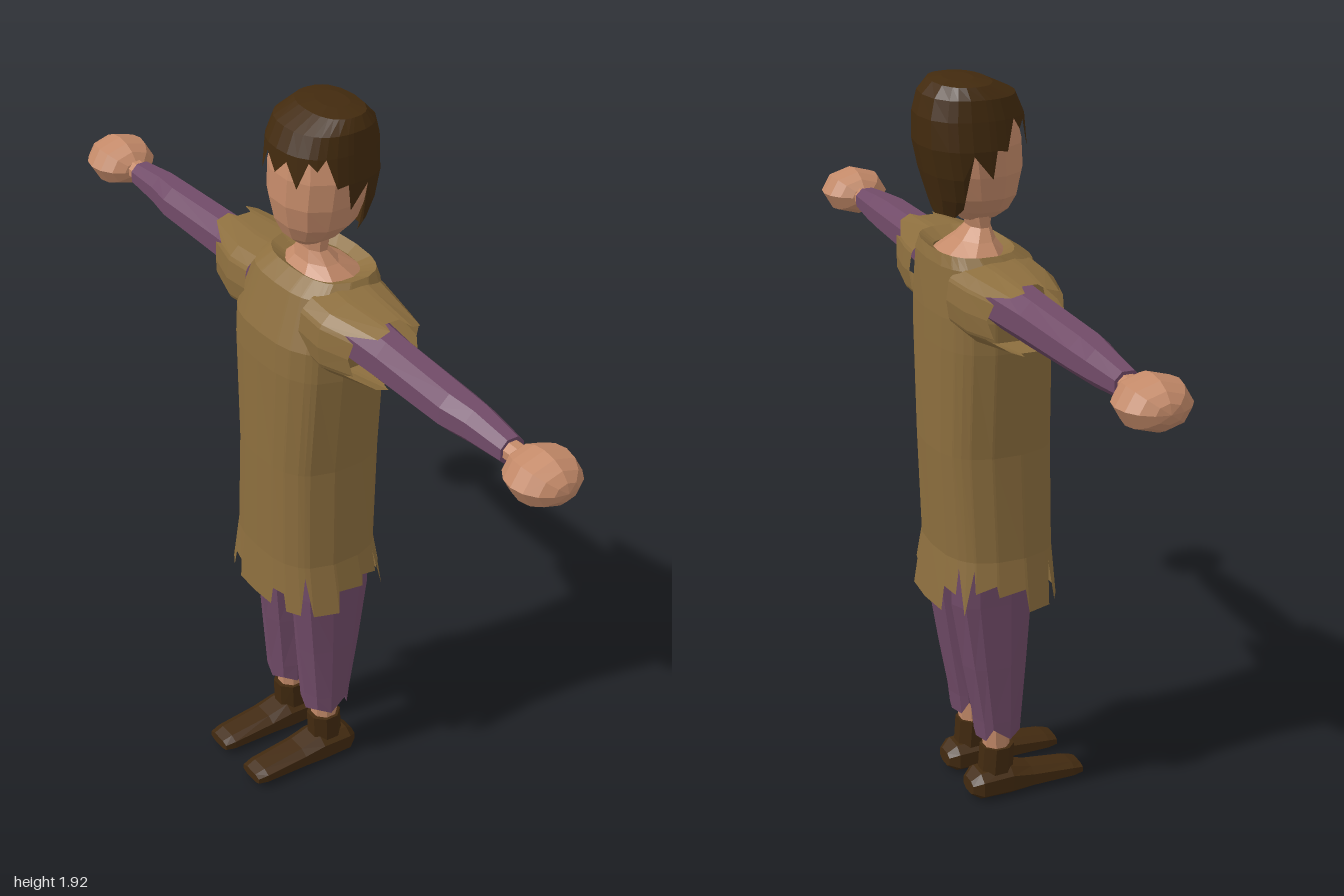
import * as THREE from 'three';

const { lerp } = THREE.MathUtils;
const flat = (name, color, side = THREE.FrontSide) => {
  const m = new THREE.MeshStandardMaterial({ color, flatShading: true, side });
  m.name = name;
  return m;
};

// Evenly spaced columns of a closed ring with a straight lower edge
const even = (n) => Array.from({ length: n }, (_, i) => [(i + 0.5) * 360 / n, -99]);
// Half a ragged edge [degrees, limit], mirrored to a full ring
const ragged = (half) => [
  ...half,
  ...half.filter(([a]) => a > 0 && a < 180).reverse().map(([a, l]) => [360 - a, l]),
];

// Skin of rows [t, a0, a1, b0, b1] with t descending; each column stops at its own limit
function shell(rows, columns, map, { round = 1, capTop = false, capEnd = false } = {}) {
  const pow = (v) => Math.sign(v) * Math.pow(Math.abs(v), round);
  const rowAt = (row, limit) => {
    if (row[0] >= limit) return row;
    let i = 1;
    while (i < rows.length - 1 && rows[i][0] > limit) i++;
    const p = rows[i - 1], q = rows[i], k = (p[0] - limit) / (p[0] - q[0]);
    return p.map((v, j) => lerp(v, q[j], k));
  };
  const pos = [], index = [], n = columns.length;
  for (const row of rows) {
    for (const [deg, limit] of columns) {
      const [t, a0, a1, b0, b1] = rowAt(row, limit);
      const c = pow(Math.cos(deg * Math.PI / 180)), s = pow(Math.sin(deg * Math.PI / 180));
      pos.push(...map(t, (a0 + a1) / 2 + c * (a1 - a0) / 2, (b0 + b1) / 2 + s * (b1 - b0) / 2));
    }
  }
  for (let r = 0; r < rows.length - 1; r++) {
    for (let i = 0; i < n; i++) {
      const a = r * n + i, b = r * n + (i + 1) % n;
      index.push(a, b, a + n, b, b + n, a + n);
    }
  }
  const last = (rows.length - 1) * n;
  for (let i = 1; i < n - 1; i++) {
    if (capTop) index.push(0, i + 1, i);
    if (capEnd) index.push(last, last + i, last + i + 1);
  }
  // Turn the faces outward whichever way the map points
  const v = (i) => new THREE.Vector3().fromArray(pos, i * 3);
  const mid = new THREE.Vector3();
  for (let i = 0; i < pos.length / 3; i++) mid.addScaledVector(v(i), 3 / pos.length);
  let volume = 0;
  for (let i = 0; i < index.length; i += 3) {
    const [a, b, c] = [0, 1, 2].map((k) => v(index[i + k]).sub(mid));
    volume += a.dot(b.cross(c));
  }
  if (volume < 0) index.reverse();
  const g = new THREE.BufferGeometry();
  g.setAttribute('position', new THREE.Float32BufferAttribute(pos, 3));
  g.setIndex(index);
  g.computeVertexNormals();
  return g;
}

const sym = (rows) => rows.map(([t, a0, a1, h]) => [t, a0, a1, -h, h]);
const upright = (t, a, b) => [a, t, b];

export function createModel() {
  const cloth = flat('tunic cloth', 0x8c6e3e, THREE.DoubleSide);
  const purple = flat('purple cloth', 0x714b68, THREE.DoubleSide);
  const skin = flat('skin', 0xc48a69);
  const leather = flat('dark leather', 0x422a10);
  const hairColor = flat('dark hair', 0x422a0e, THREE.DoubleSide);

  const model = new THREE.Group();
  model.name = 'figure';
  const add = (name, geometry, material) => {
    const mesh = new THREE.Mesh(geometry, material);
    mesh.name = name;
    model.add(mesh);
    return mesh;
  };

  // Tunic with open collar and torn hem
  const hem = ragged([
    [0, 0.575], [20, 0.575], [21, 0.64], [36, 0.63], [38, 0.7], [47, 0.58], [56, 0.7], [58, 0.64],
    [78, 0.66], [80, 0.63], [96, 0.64], [98, 0.58], [122, 0.58], [128, 0.69], [135, 0.58],
    [150, 0.58], [152, 0.63], [164, 0.63], [166, 0.58], [180, 0.58],
  ]);
  add('tunic', shell(sym([
    [1.495, 0.0, 0.145, 0.1], [1.515, -0.025, 0.172, 0.15], [1.485, -0.07, 0.18, 0.172],
    [1.36, -0.115, 0.186, 0.198], [1.28, -0.12, 0.187, 0.197], [1.0, -0.125, 0.187, 0.172],
    [0.72, -0.128, 0.175, 0.18], [0.575, -0.137, 0.195, 0.208],
  ]), hem, upright, { round: 0.75 }), cloth);

  // Neck spreading into the chest, then the head
  add('neck', shell(sym([
    [1.62, 0.01, 0.09, 0.05], [1.555, 0.015, 0.072, 0.048], [1.525, 0.005, 0.1, 0.075],
    [1.48, -0.03, 0.165, 0.13],
  ]), even(8), upright, { capEnd: true }), skin);
  add('head', shell(sym([
    [1.87, -0.01, 0.14, 0.08], [1.84, -0.045, 0.17, 0.105], [1.77, -0.06, 0.18, 0.124],
    [1.7, -0.064, 0.168, 0.12], [1.64, -0.052, 0.145, 0.104], [1.6, -0.034, 0.11, 0.07],
    [1.575, -0.005, 0.09, 0.035],
  ]), even(12), upright, { round: 0.9, capTop: true, capEnd: true }), skin);

  // Hair with a jagged fringe and side locks
  const locks = ragged([
    [0, 1.595], [25, 1.6], [48, 1.595], [60, 1.62], [75, 1.76], [90, 1.7], [95, 1.77], [106, 1.765],
    [118, 1.84], [128, 1.81], [138, 1.83], [152, 1.76], [166, 1.82], [180, 1.78],
  ]);
  add('hair', shell(sym([
    [1.925, 0.06, 0.13, 0.05], [1.918, 0.02, 0.16, 0.1], [1.89, -0.04, 0.187, 0.12],
    [1.84, -0.062, 0.2, 0.129], [1.77, -0.067, 0.2, 0.137], [1.7, -0.067, 0.185, 0.133],
    [1.64, -0.055, 0.168, 0.112], [1.59, -0.03, 0.155, 0.075],
  ]), locks, upright, { round: 0.85, capTop: true }), hairColor);

  const cuff = ragged([
    [0, -0.29], [22, -0.31], [28, -0.27], [50, -0.35], [75, -0.36], [82, -0.32], [95, -0.32],
    [100, -0.35], [128, -0.35], [150, -0.27], [158, -0.3], [180, -0.29],
  ]);
  const trouserHem = ragged([[0, 0.185], [40, 0.185], [65, 0.22], [100, 0.185], [140, 0.2], [180, 0.185]]);

  for (const s of [1, -1]) {
    const side = s > 0 ? 'left' : 'right';
    const outward = (t, a, b) => [a, b, -t * s];

    // Torn short sleeve over a long undersleeve
    add(side + 'TunicSleeve', shell([
      [-0.12, -0.08, 0.178, 1.32, 1.505], [-0.2, -0.08, 0.165, 1.31, 1.5],
      [-0.36, -0.035, 0.13, 1.33, 1.49],
    ], cuff, outward, { round: 0.7 }), cloth);
    add(side + 'Arm', shell([
      [-0.17, -0.03, 0.11, 1.345, 1.475], [-0.35, -0.022, 0.092, 1.345, 1.468],
      [-0.6, -0.025, 0.085, 1.355, 1.46], [-0.68, -0.012, 0.08, 1.36, 1.455],
      [-0.8, -0.003, 0.067, 1.37, 1.44],
    ], even(8), outward, { round: 0.9, capEnd: true }), purple);
    add(side + 'Wrist', shell([
      [-0.78, 0.004, 0.06, 1.38, 1.432], [-0.85, 0.004, 0.06, 1.38, 1.432],
    ], even(8), outward), skin);

    // Rounded mitten hand
    const ball = new THREE.SphereGeometry(1, 8, 8).rotateX(Math.PI / 2).scale(0.09, 0.064, 0.09);
    add(side + 'Hand', ball, skin).position.set(0.03, 1.405, s * 0.91);

    // Trouser leg, ankle and boot
    const leg = (t, a, b) => [a, t, s * (0.082 + b)];
    add(side + 'TrouserLeg', shell(sym([
      [0.85, -0.07, 0.155, 0.068], [0.58, -0.07, 0.155, 0.064], [0.4, -0.052, 0.125, 0.063],
      [0.24, -0.035, 0.095, 0.06], [0.185, -0.03, 0.088, 0.058],
    ]), trouserHem, leg, { round: 0.8 }), purple);
    add(side + 'Ankle', shell(sym([
      [0.3, -0.01, 0.075, 0.038], [0.13, -0.005, 0.065, 0.036],
    ]), even(8), leg), skin);
    add(side + 'BootShaft', shell(sym([
      [0.15, -0.018, 0.074, 0.045], [0.07, -0.015, 0.08, 0.043],
    ]), even(8), leg, { capTop: true }), leather);
    add(side + 'BootFoot', shell([
      [0.11, 0.02, 0.06, -0.035, 0.035], [0.085, 0.005, 0.083, -0.054, 0.054],
      [0.0, 0.004, 0.088, -0.054, 0.054], [-0.06, 0.01, 0.072, -0.05, 0.05],
      [-0.18, 0.014, 0.057, -0.046, 0.046], [-0.208, 0.02, 0.048, -0.04, 0.04],
    ], even(8), (t, a, b) => [t, a, s * (0.082 + b)], { round: 0.7, capTop: true, capEnd: true }), leather);
  }
  return model;
}
